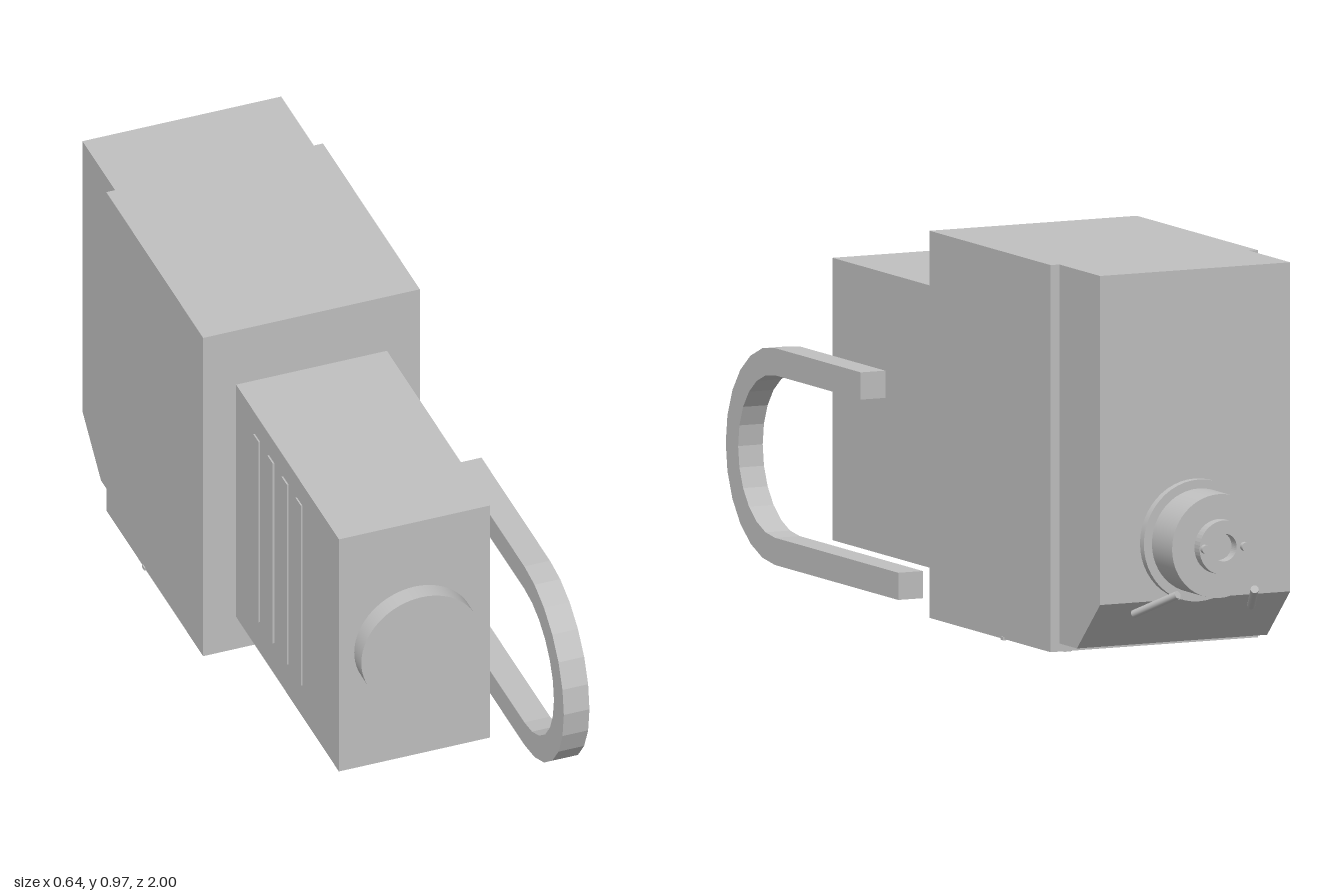
import * as THREE from 'three';

const CX = -0.037; // centre line of the housing

export function createModel() {
  const model = new THREE.Group();
  model.name = 'device';
  const grey = new THREE.MeshStandardMaterial({ color: 0xc0c0c0 });
  grey.name = 'grey';

  const add = (name, geometry) => {
    const mesh = new THREE.Mesh(geometry, grey);
    mesh.name = name;
    model.add(mesh);
    return mesh;
  };
  // Box given by its limits on each axis
  const box = (name, x0, x1, y0, y1, z0, z1) =>
    add(name, new THREE.BoxGeometry(x1 - x0, y1 - y0, z1 - z0))
      .position.set((x0 + x1) / 2, (y0 + y1) / 2, (z0 + z1) / 2);
  // Cylinder lying along z
  const disc = (name, r, x, y, z0, z1, sides = 48) =>
    add(name, new THREE.CylinderGeometry(r, r, z1 - z0, sides).rotateX(Math.PI / 2))
      .position.set(x, y, (z0 + z1) / 2);
  // Side outline (drawn with -z to the right) extruded from x0 to x1
  const sideExtrude = (name, shape, x0, x1, curveSegments = 6) =>
    add(name, new THREE.ExtrudeGeometry(shape, { depth: x1 - x0, bevelEnabled: false, curveSegments })
      .rotateY(Math.PI / 2)).position.x = x0;

  // Housing
  box('mainBody', -0.32, 0.246, 0.014, 0.967, -0.61, 0.045);
  box('frontBody', -0.234, 0.16, 0.11, 0.805, 0.045, 0.74);
  disc('frontKnob', 0.157, CX, 0.456, 0.74, 0.788, 64);

  // Rear body with a chamfered lower edge
  const rear = new THREE.Shape([
    [0.61, 0.034], [0.705, 0.034], [0.83, 0.157], [0.83, 0.967], [0.61, 0.967],
  ].map(([a, b]) => new THREE.Vector2(a, b)));
  sideExtrude('rearBody', rear, -0.297, 0.222);

  // U-shaped handle beside the front body
  const zc = -0.733, yc = 0.327, ro = 0.267, ri = 0.2;
  const u = new THREE.Shape();
  u.moveTo(-0.27, yc + ro);
  u.lineTo(zc, yc + ro);
  u.absarc(zc, yc, ro, Math.PI / 2, Math.PI * 1.5, false);
  u.lineTo(-0.067, yc - ro);
  u.lineTo(-0.067, yc - ri);
  u.lineTo(zc, yc - ri);
  u.absarc(zc, yc, ri, Math.PI * 1.5, Math.PI / 2, true);
  u.lineTo(-0.27, yc + ri);
  u.closePath();
  sideExtrude('handle', u, 0.253, 0.32);

  // Vent strips on the side of the front body
  for (let i = 0; i < 4; i++) {
    const z = 0.19 + i * 0.095;
    box('ventStrip', -0.238, -0.23, 0.203, 0.742, z - 0.018, z + 0.018);
  }

  // Rear nozzle
  const ny = 0.302;
  disc('nozzleFlange', 0.15, CX, ny, -0.851, -0.83);
  disc('nozzleBody', 0.128, CX, ny, -0.96, -0.851);
  const ring = new THREE.Shape().absarc(0, 0, 0.067, 0, Math.PI * 2, false);
  ring.holes.push(new THREE.Path().absarc(0, 0, 0.034, 0, Math.PI * 2, true));
  add('nozzleCap', new THREE.ExtrudeGeometry(ring, { depth: 0.028, bevelEnabled: false, curveSegments: 24 }))
    .position.set(CX, ny, -0.988);

  // Mirrored pins and splayed rods
  for (const s of [-1, 1]) {
    disc('capPin', 0.011, CX + s * 0.054, ny, -1, -0.98, 16);
    const a = new THREE.Vector3(CX + s * 0.16, 0.127, -0.817);
    const b = new THREE.Vector3(CX + s * 0.105, 0.187, -0.945);
    const rod = add('nozzleRod', new THREE.CylinderGeometry(0.01, 0.01, a.distanceTo(b), 16));
    rod.position.copy(a).lerp(b, 0.5);
    rod.quaternion.setFromUnitVectors(new THREE.Vector3(0, 1, 0), b.clone().sub(a).normalize());
  }

  // Underside details
  box('bottomPlate', -0.18, 0.106, 0.01, 0.016, -0.27, -0.095);
  box('bottomSeam', -0.323, 0.249, 0.011, 0.019, -0.36, -0.345);
  add('footButton', new THREE.CylinderGeometry(0.017, 0.017, 0.016, 24)).position.set(0.16, 0.008, -0.517);

  return model;
}
